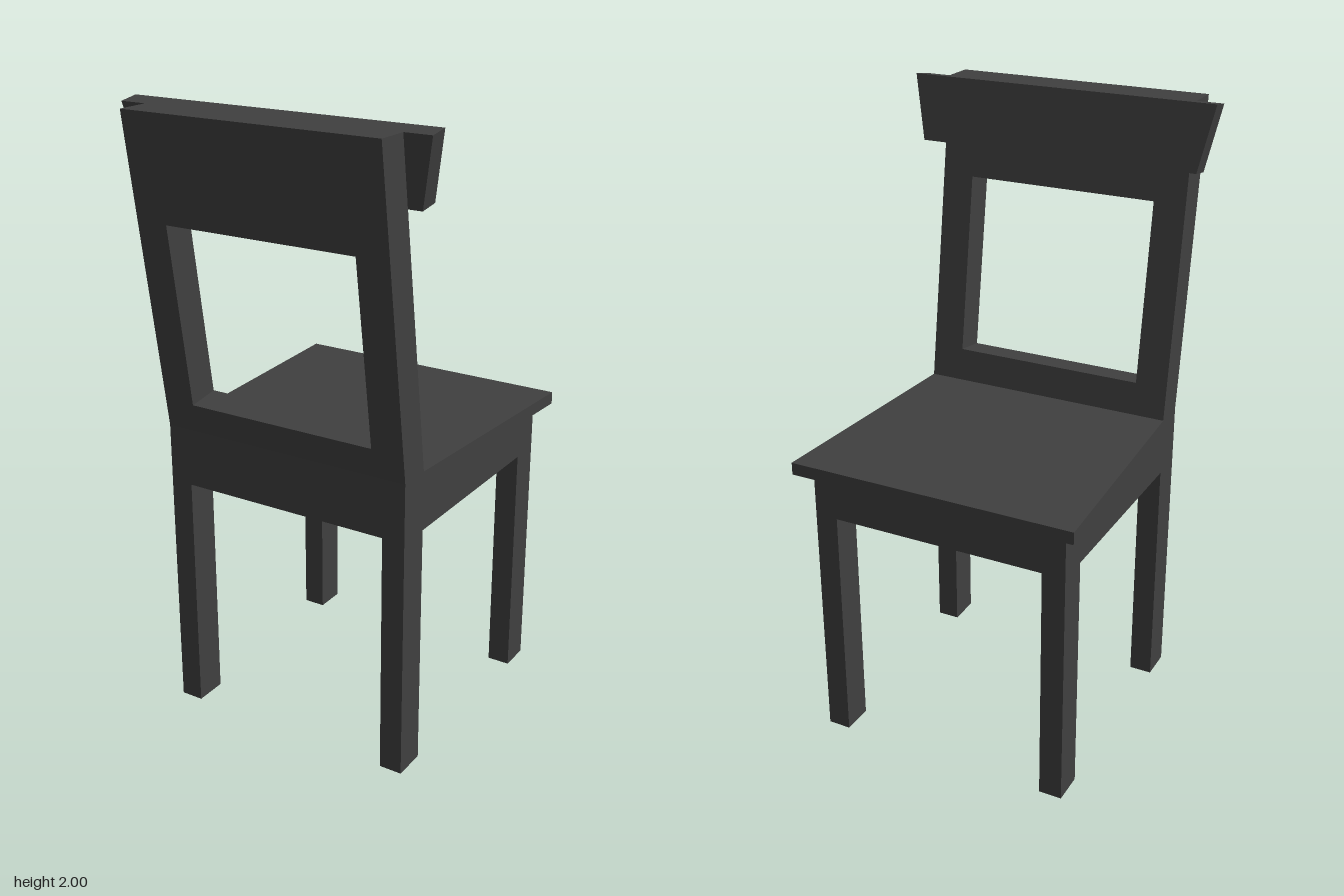
import * as THREE from 'three';

const darkWood = new THREE.MeshStandardMaterial({ color: 0x404040 });
darkWood.name = 'darkWood';

function addMesh(group, name, geometry) {
  const mesh = new THREE.Mesh(geometry, darkWood);
  mesh.name = name;
  group.add(mesh);
}

// Box given by its lower and upper limits on each axis
function span(x0, x1, y0, y1, z0, z1) {
  return new THREE.BoxGeometry(x1 - x0, y1 - y0, z1 - z0)
    .translate((x0 + x1) / 2, (y0 + y1) / 2, (z0 + z1) / 2);
}

function polygon(points) {
  return new THREE.Shape(points.map(([x, y]) => new THREE.Vector2(x, y)));
}

// Move every vertex by a rule, then restore flat normals
function reshape(geometry, rule) {
  const p = geometry.attributes.position;
  const v = new THREE.Vector3();
  for (let i = 0; i < p.count; i++) {
    v.fromBufferAttribute(p, i);
    rule(v);
    p.setXYZ(i, v.x, v.y, v.z);
  }
  geometry.computeVertexNormals();
  return geometry;
}

export function createModel() {
  const chair = new THREE.Group();
  chair.name = 'chair';
  const half = 0.427, railBottom = 0.795, seatBottom = 0.945, seatTop = 0.985;
  const backZ = 0.27, rearZ = 0.378, frontZ = -0.477;

  // Four square legs
  for (const [side, sx] of [['left', 1], ['right', -1]]) {
    const x0 = sx > 0 ? 0.352 : -half;
    const x1 = x0 + half - 0.352;
    addMesh(chair, side + 'BackrestLeg', span(x0, x1, 0, railBottom, backZ, rearZ));
    addMesh(chair, side + 'SeatLeg', span(x0, x1, 0, railBottom, frontZ, -0.373));
  }

  // Solid seat frame and the rail that carries the backrest
  addMesh(chair, 'seatFrame', span(-half, half, railBottom, seatBottom, frontZ, rearZ));
  addMesh(chair, 'backRail', span(-half, half, seatBottom, seatTop, backZ, rearZ));

  // Seat board, wider towards its free edge
  const seat = new THREE.ExtrudeGeometry(
    polygon([[-0.427, -backZ], [-0.472, 0.525], [0.472, 0.525], [0.427, -backZ]]),
    { depth: seatTop - seatBottom, bevelEnabled: false });
  addMesh(chair, 'seat', seat.rotateX(-Math.PI / 2).translate(0, seatBottom, 0));

  // Leaning backrest with a square opening cut at right angles to it
  const slope = 0.147, thickness = rearZ - backZ;
  const panel = polygon([[-half, seatTop], [half, seatTop], [half, 1.99], [-half, 1.99]]);
  panel.holes.push(polygon([[-0.321, 1.092], [-0.321, 1.676], [0.321, 1.676], [0.321, 1.092]]));
  const back = new THREE.ExtrudeGeometry(panel, { depth: thickness, bevelEnabled: false });
  addMesh(chair, 'backrest', reshape(back, (v) => {
    if (Math.abs(v.x) < 0.33) v.y -= slope * v.z;
    v.z += backZ + slope * (v.y - seatTop);
  }));

  // Head board, flaring outwards towards the top
  const head = new THREE.ExtrudeGeometry(
    polygon([[-0.322, 1.793], [-0.388, 1.783], [-0.418, 1.99], [-0.354, 2.0]]),
    { depth: 2, bevelEnabled: false });
  head.translate(0, 0, -1).rotateY(Math.PI / 2);
  addMesh(chair, 'headBoard', reshape(head, (v) => {
    v.x *= v.y > 1.9 ? 0.514 : 0.472;
  }));

  return chair;
}
